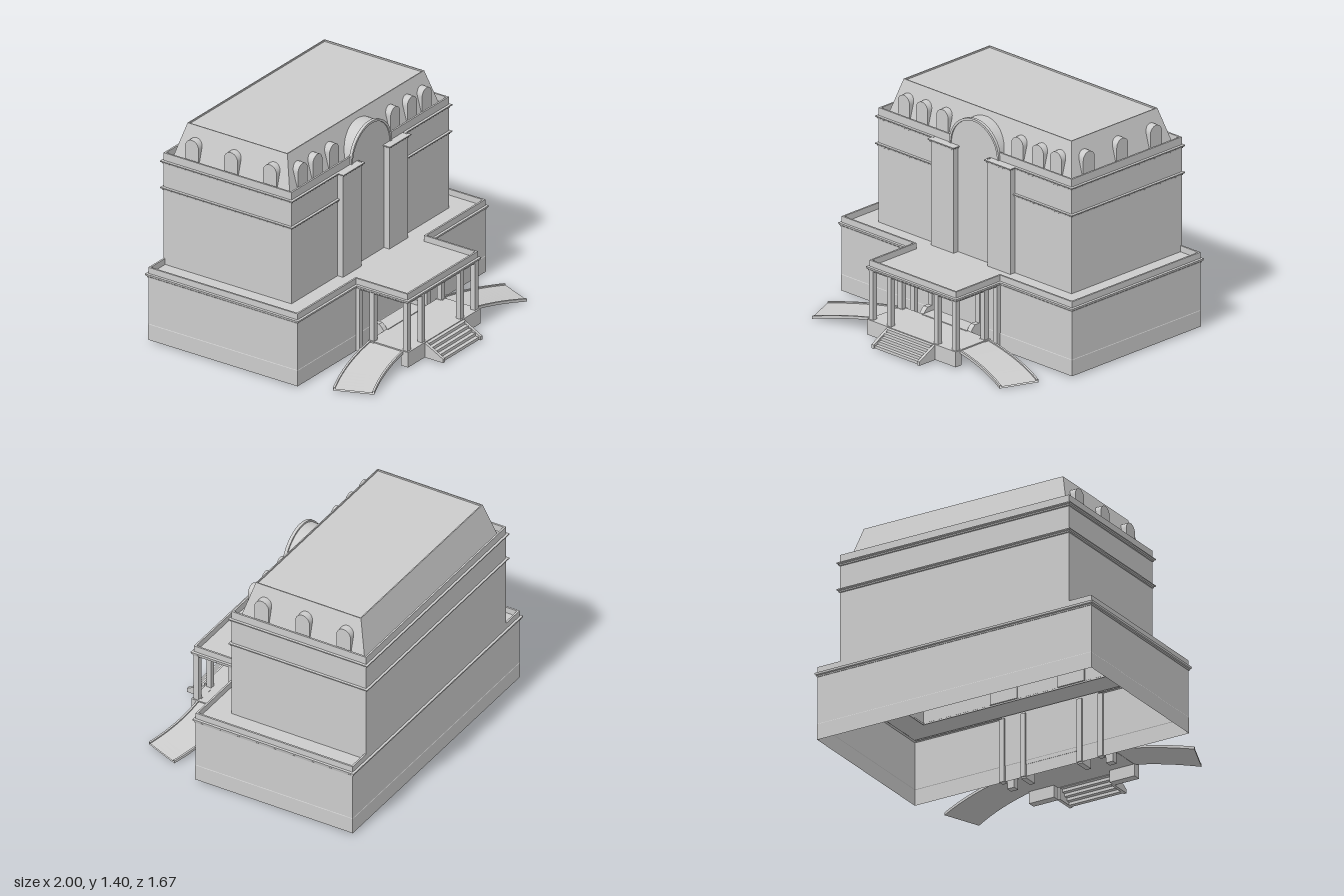
import * as THREE from 'three';

const grey = new THREE.MeshStandardMaterial({ color: 0xcccccc, side: THREE.DoubleSide });

// Quad skin over a list of point rings
function skin(rings, closed) {
  const pos = [];
  for (let k = 0; k + 1 < rings.length; k++) {
    const a = rings[k], b = rings[k + 1], n = a.length;
    for (let i = 0; i < (closed ? n : n - 1); i++) {
      const j = (i + 1) % n;
      pos.push(...a[i], ...a[j], ...b[j], ...a[i], ...b[j], ...b[i]);
    }
  }
  const g = new THREE.BufferGeometry();
  g.setAttribute('position', new THREE.Float32BufferAttribute(pos, 3));
  g.computeVertexNormals();
  return g;
}

// Right-angled plan outline [x, z] pushed outwards by d
function offset(path, d, closed) {
  const n = path.length;
  const normal = (i) => {
    const a = path[(i + n) % n], b = path[(i + 1) % n];
    const l = Math.hypot(b[0] - a[0], b[1] - a[1]);
    return [-(b[1] - a[1]) / l, (b[0] - a[0]) / l];
  };
  return path.map((p, i) => {
    const u = closed || i > 0 ? normal(i - 1) : [0, 0];
    const v = closed || i < n - 1 ? normal(i) : [0, 0];
    return [p[0] + d * (u[0] + v[0]), p[1] + d * (u[1] + v[1])];
  });
}

// Sweep a profile of [outward offset, y] along a plan outline
const sweep = (path, profile, closed = true) =>
  skin(profile.map(([d, y]) => offset(path, d, closed).map(([x, z]) => [x, y, z])), closed);

// Horizontal plane over a plan outline, optionally with a hole
function slab(path, y, hole) {
  const pts = (p) => p.map(([x, z]) => new THREE.Vector2(x, -z));
  const s = new THREE.Shape(pts(path));
  if (hole) s.holes.push(new THREE.Path(pts(hole)));
  return new THREE.ShapeGeometry(s).rotateX(-Math.PI / 2).translate(0, y, 0);
}

const rect = (x, z0, z1) => [[-x, z1], [x, z1], [x, z0], [-x, z0]];

const box = (x0, x1, y0, y1, z0, z1) =>
  new THREE.BoxGeometry(x1 - x0, y1 - y0, z1 - z0)
    .translate((x0 + x1) / 2, (y0 + y1) / 2, (z0 + z1) / 2);

// Side outline [z, y] extruded between x0 and x1
function sideSlice(points, x0, x1) {
  const s = new THREE.Shape(points.map(([z, y]) => new THREE.Vector2(z, y)));
  return new THREE.ExtrudeGeometry(s, { depth: x1 - x0, bevelEnabled: false })
    .rotateY(-Math.PI / 2).translate(x1, 0, 0);
}

// Round-headed block: base at y = 0, front face at z = 0, running back by depth
function arched(halfWidth, springY, depth, segments) {
  const s = new THREE.Shape();
  s.moveTo(-halfWidth, 0).lineTo(halfWidth, 0).lineTo(halfWidth, springY);
  s.absarc(0, springY, halfWidth, 0, Math.PI, false);
  s.lineTo(-halfWidth, 0);
  return new THREE.ExtrudeGeometry(s, { depth, bevelEnabled: false, curveSegments: segments })
    .translate(0, 0, -depth);
}

export function createModel() {
  const model = new THREE.Group();
  const add = (name, geometry, parent = model) => {
    const m = new THREE.Mesh(geometry, grey);
    m.name = name;
    parent.add(m);
    return m;
  };

  // Ground storey, with the portico sharing its cornice and parapet
  const base = rect(0.985, -0.82, 0.3);
  const tee = [[-0.985, 0.3], [-0.37, 0.3], [-0.37, 0.685], [0.37, 0.685], [0.37, 0.3],
    [0.985, 0.3], [0.985, -0.82], [-0.985, -0.82]];
  const main = rect(0.825, -0.82, 0.14);
  add('groundWalls', sweep(base, [[0.002, 0.01], [0.002, 0.115], [0, 0.118], [0, 0.45]]));
  add('groundCornice', sweep(tee, [[-0.02, 0.432], [0.004, 0.432], [0.006, 0.44], [0.012, 0.445],
    [0.015, 0.458], [0, 0.46], [0, 0.5], [-0.012, 0.5], [-0.012, 0.46]]));
  add('groundRoof', slab(tee, 0.46, rect(0.824, -0.815, 0.139)));
  add('porticoCeiling', slab(rect(0.37, 0.3, 0.685), 0.434));

  // Upper storeys
  add('upperWalls', sweep(main, [[0, 0.45], [0, 1.215], [-0.012, 1.215], [-0.012, 1.17]]));
  add('terrace', slab(main, 1.17));
  const bandPath = [[0.34, 0.14], [0.825, 0.14], [0.825, -0.82], [-0.825, -0.82],
    [-0.825, 0.14], [-0.34, 0.14]];
  const topPath = [[0.145, 0.14], [0.145, 0.18], [0.34, 0.18], ...bandPath,
    [-0.34, 0.18], [-0.145, 0.18], [-0.145, 0.14]];
  const moulding = (y) => [[0, y - 0.013], [0.005, y - 0.01], [0.007, y - 0.002],
    [0.015, y + 0.003], [0.015, y + 0.01], [0, y + 0.012]];
  add('bandCornice', sweep(bandPath, moulding(0.973), false));
  add('topCornice', sweep(topPath, moulding(1.152), false));
  for (const s of [-1, 1]) {
    add('frontPilaster', box(0.2425 * s - 0.0975, 0.2425 * s + 0.0975, 0.46, 1.163, 0.13, 0.18));
  }

  // Sloping roof with a shallow lip
  const roof = rect(0.785, -0.785, 0.1);
  add('roofSlopes', sweep(roof, [[0, 1.165], [-0.068, 1.405], [-0.075, 1.405], [-0.075, 1.395]]));
  add('roofTop', slab(offset(roof, -0.072, true), 1.395));

  // Round-headed dormers on the front and both sides
  for (const s of [-1, 1]) {
    for (const x of [0.32, 0.495, 0.65]) {
      add('frontDormer', arched(0.05, 0.115, 0.06, 10)).position.set(x * s, 1.17, 0.1);
    }
    for (const z of [-0.05, -0.342, -0.635]) {
      const d = add('sideDormer', arched(0.05, 0.115, 0.06, 10));
      d.position.set(0.787 * s, 1.17, z);
      d.rotation.y = s * Math.PI / 2;
    }
  }

  // Central arched gable with a raised rim
  add('archGable', arched(0.202, 0.02, 0.115, 24)).position.set(0, 1.145, 0.144);
  const rim = new THREE.Shape();
  rim.absarc(0, 0, 0.213, 0, Math.PI, false);
  rim.absarc(0, 0, 0.198, Math.PI, 0, true);
  add('archRim', new THREE.ExtrudeGeometry(rim, { depth: 0.02, bevelEnabled: false, curveSegments: 24 }))
    .position.set(0, 1.165, 0.132);

  // Porch floor, landing and steps
  add('porchFloor', box(-0.375, 0.375, 0.09, 0.11, 0.4, 0.695));
  add('doorLanding', box(-0.19, 0.19, 0.09, 0.115, 0.3, 0.41));
  for (let i = 0; i < 5; i++) {
    add('step', box(-0.187, 0.187, 0.01 + i * 0.019, 0.029 + i * 0.019, 0.795 - i * 0.026, 0.823 - i * 0.026));
  }

  // Everything that is mirrored beside the porch
  for (const s of [-1, 1]) {
    const half = new THREE.Group();
    half.name = s > 0 ? 'leftPorchSide' : 'rightPorchSide';
    half.scale.x = s;
    model.add(half);
    add('stairCheek', sideSlice([[0.69, 0.01], [0.835, 0.01], [0.835, 0.035], [0.7, 0.105], [0.69, 0.105]], 0.185, 0.205), half);
    add('landingCheek', sideSlice([[0.3, 0], [0.4, 0], [0.4, 0.11], [0.385, 0.13], [0.365, 0.148], [0.3, 0.148]], 0.185, 0.22), half);
    add('cornerPedestal', box(0.2, 0.38, 0.01, 0.111, 0.645, 0.697), half);
    add('rearPedestal', box(0.33, 0.38, 0.01, 0.111, 0.395, 0.44), half);
    add('innerColumn', box(0.185, 0.22, 0.11, 0.434, 0.652, 0.686), half);
    add('outerColumn', box(0.336, 0.372, 0.11, 0.434, 0.652, 0.686), half);
    add('rearColumn', box(0.336, 0.372, 0.11, 0.434, 0.4, 0.436), half);
    add('wallPilaster', box(0.336, 0.372, 0.01, 0.434, 0.29, 0.328), half);
    add('doorPilaster', box(0.185, 0.22, 0.01, 0.434, 0.29, 0.328), half);

    // Curved carriage ramp with low kerbs
    const section = [[1.14, 0], [1.14, 0.018], [1.153, 0.018], [1.153, 0.01],
      [1.387, 0.01], [1.387, 0.018], [1.4, 0.018], [1.4, 0]];
    const rings = [];
    for (let i = 0; i <= 16; i++) {
      const t = i / 16, a = 0.388 * t;
      rings.push(section.map(([r, y]) =>
        [0.37 + r * Math.sin(a), 0.093 - 0.088 * t + y, 1.8 - r * Math.cos(a)]));
    }
    add('ramp', skin(rings, true), half);
  }
  return model;
}
